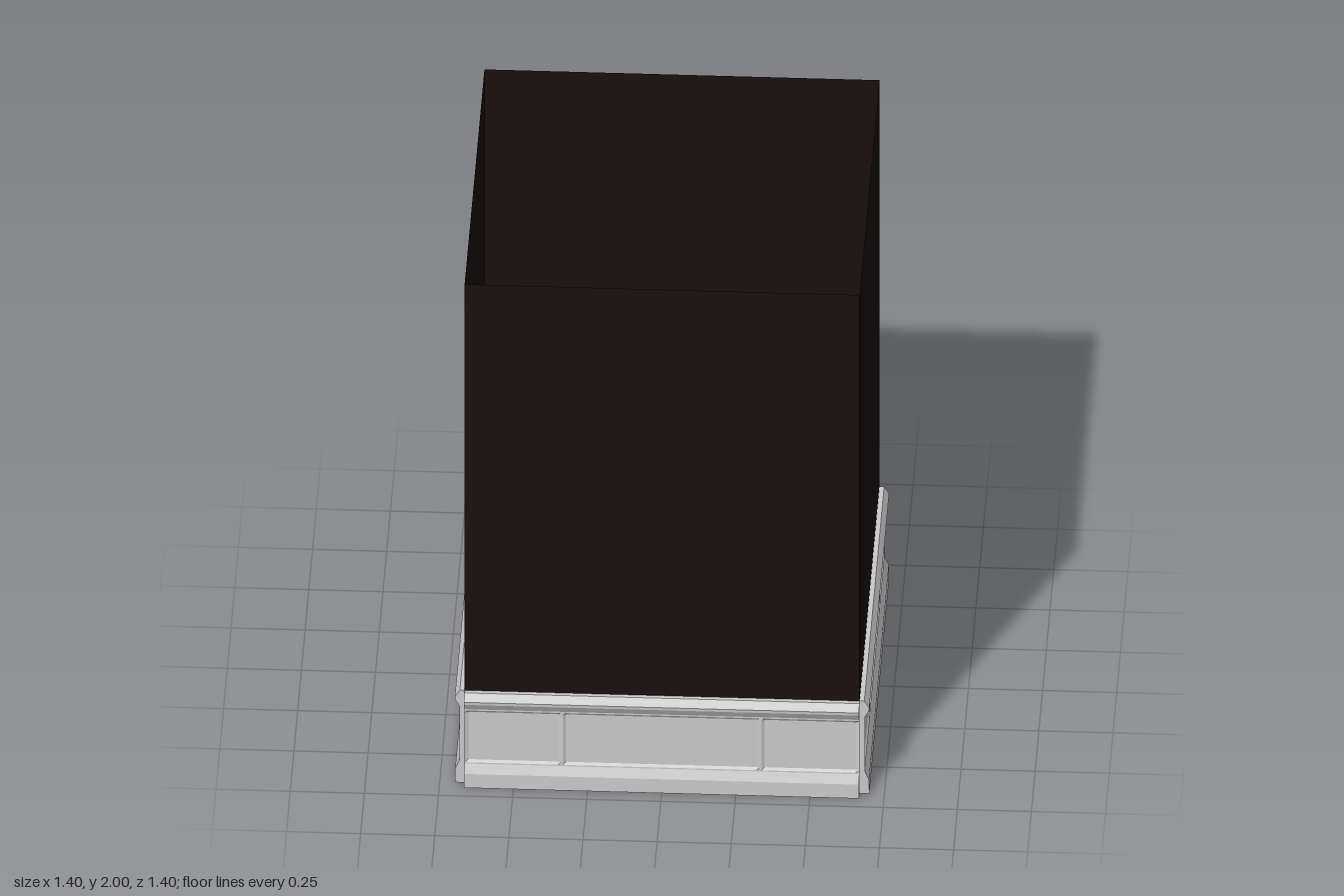
import * as THREE from 'three';

const HALF = 0.666; // wall plane distance from the centre
const TOP = 0.37; // height of the wainscot
const FRAME = 0.018, FIELD = 0.012; // depths of panel frame and recessed field

// One side of the panelling: a moulded section carried along x, recessed between the posts.
function panellingGeometry() {
  const columns = [
    [-HALF, FRAME], [-0.653, FIELD], [-0.35, FIELD], [-0.341, FRAME], [-0.333, FRAME], [-0.324, FIELD],
    [0.32, FIELD], [0.329, FRAME], [0.337, FRAME], [0.346, FIELD], [0.653, FIELD], [HALF, FRAME],
  ];
  // Section [depth, height] from the bottom edge up to the top ledge
  const section = (d) => [
    [0, 0], [0.033, 0], [0.032, 0.055], [FRAME, 0.088], [FRAME, 0.093], [d, 0.102],
    [d, 0.292], [FRAME, 0.301], [FRAME, 0.306], [0.032, 0.332], [0.033, 0.343], [0.016, TOP], [0, TOP],
  ];
  const rows = columns.map(([x, d]) => section(d).map(([z, y]) => [x, y, HALF + z]));
  const positions = [];
  const quad = (a, b, c, d) => positions.push(...a, ...b, ...c, ...a, ...c, ...d);
  for (let i = 0; i + 1 < rows.length; i++) {
    for (let j = 0; j + 1 < rows[i].length; j++) {
      quad(rows[i][j], rows[i + 1][j], rows[i + 1][j + 1], rows[i][j + 1]);
    }
  }
  // End caps, filled from the moulding back to the wall plane
  const back = ([x, y]) => [x, y, HALF];
  const first = rows[0], last = rows[rows.length - 1];
  for (let j = 1; j + 2 < first.length; j++) {
    quad(back(first[j]), first[j], first[j + 1], back(first[j + 1]));
    quad(last[j], back(last[j]), back(last[j + 1]), last[j + 1]);
  }
  const geometry = new THREE.BufferGeometry();
  geometry.setAttribute('position', new THREE.Float32BufferAttribute(positions, 3));
  geometry.computeVertexNormals();
  return geometry;
}

export function createModel() {
  const model = new THREE.Group();
  model.name = 'panelledRoom';
  const trim = new THREE.MeshStandardMaterial({ color: 0xcccccc, flatShading: true, side: THREE.DoubleSide });
  const paint = new THREE.MeshStandardMaterial({ color: 0x1a0f0f, side: THREE.DoubleSide });

  const panelling = panellingGeometry();
  const wall = new THREE.PlaneGeometry(2 * HALF, 2 - TOP);
  wall.translate(0, (2 + TOP) / 2, HALF);

  // The same wall and panelling on all four sides
  ['front', 'left', 'back', 'right'].forEach((name, i) => {
    const side = new THREE.Group();
    side.name = name + 'Side';
    side.rotation.y = i * Math.PI / 2;
    const upper = new THREE.Mesh(wall, paint);
    upper.name = name + 'UpperWall';
    const lower = new THREE.Mesh(panelling, trim);
    lower.name = name + 'Wainscot';
    side.add(upper, lower);
    model.add(side);
  });
  return model;
}
